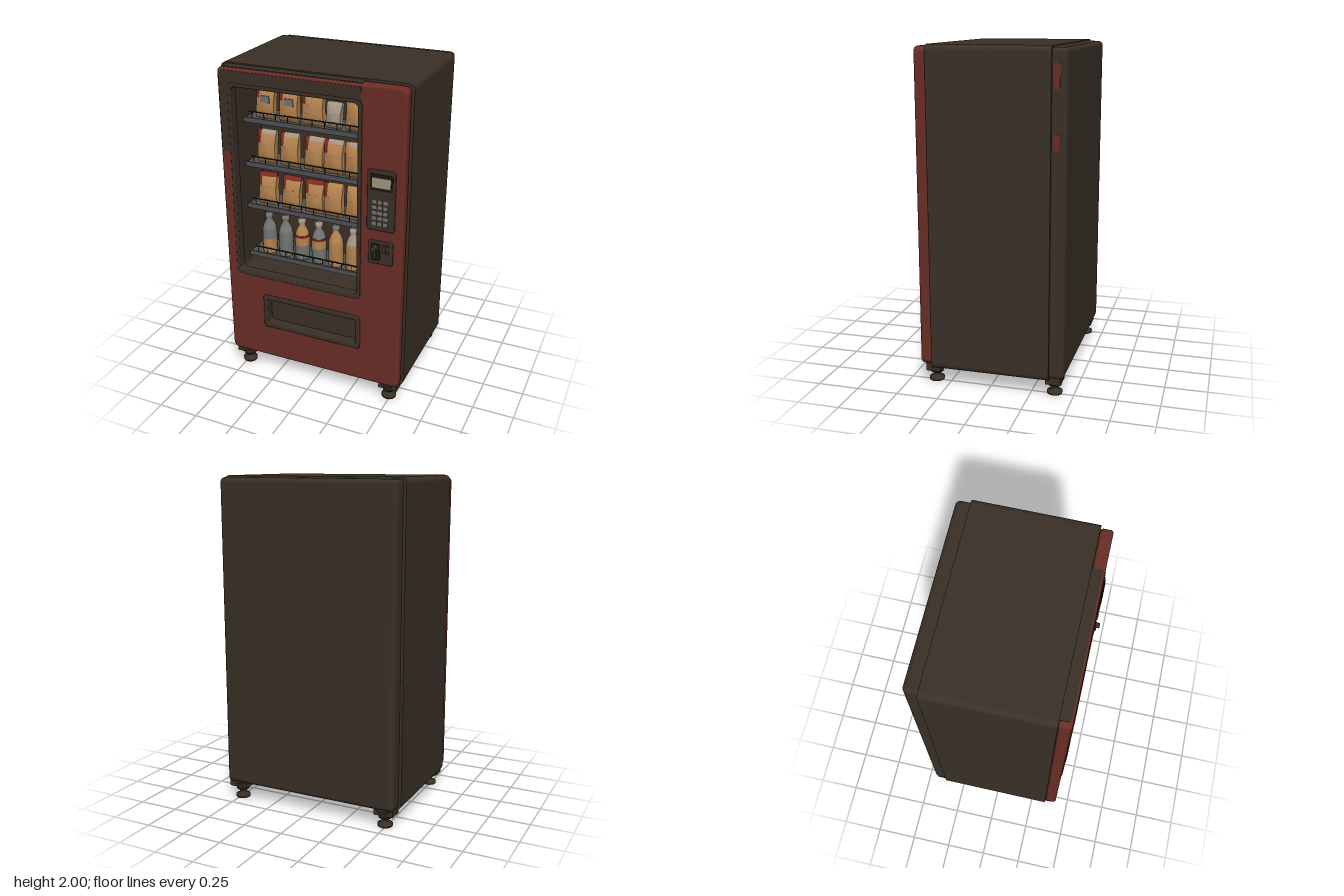
import * as THREE from 'three';
import { RoundedBoxGeometry } from 'three/addons/geometries/RoundedBoxGeometry.js';

const paint = (name, color) => {
  const m = new THREE.MeshStandardMaterial({ color });
  m.name = name;
  return m;
};

export function createModel() {
  const brown = paint('dark brown', 0x393027);
  const red = paint('brick red', 0x6a2d25);
  const black = paint('near black', 0x1b1713);
  const tan = paint('tan', 0xb5834f);
  const beige = paint('beige', 0xa39582);
  const grey = paint('grey', 0x747472);
  const metal = paint('shelf metal', 0x505154);
  const crimson = paint('packet red', 0x7d2a20);

  const model = new THREE.Group();
  model.name = 'vendingMachine';

  const add = (name, geo, mat, x = 0, y = 0, z = 0, parent = model) => {
    const m = new THREE.Mesh(geo, mat);
    m.name = name;
    m.position.set(x, y, z);
    parent.add(m);
    return m;
  };
  const box = (name, mat, x0, x1, y0, y1, z0, z1, parent = model) =>
    add(name, new THREE.BoxGeometry(x1 - x0, y1 - y0, z1 - z0), mat,
      (x0 + x1) / 2, (y0 + y1) / 2, (z0 + z1) / 2, parent);

  // Rounded rectangle outline, with optional holes
  const rect = (x0, x1, y0, y1, r, holes = []) => {
    const s = new THREE.Shape();
    s.moveTo(x0 + r, y0);
    s.lineTo(x1 - r, y0).absarc(x1 - r, y0 + r, r, -Math.PI / 2, 0);
    s.lineTo(x1, y1 - r).absarc(x1 - r, y1 - r, r, 0, Math.PI / 2);
    s.lineTo(x0 + r, y1).absarc(x0 + r, y1 - r, r, Math.PI / 2, Math.PI);
    s.lineTo(x0, y0 + r).absarc(x0 + r, y0 + r, r, Math.PI, Math.PI * 1.5);
    s.holes.push(...holes);
    return s;
  };
  // Outline extruded between two depths
  const slab = (name, shape, z0, z1, mat, b = 0) =>
    add(name, new THREE.ExtrudeGeometry(shape, {
      depth: z1 - z0 - 2 * b, curveSegments: 6, bevelEnabled: b > 0,
      bevelThickness: b, bevelSize: b, bevelOffset: -b, bevelSegments: 3,
    }), mat, 0, 0, z0 + b);

  // Cabinet: solid rear, hollow front
  const windowHole = () => rect(-0.5, 0.31, 0.69, 1.9, 0.03);
  slab('cabinetRear', rect(-0.58, 0.58, 0.1, 2, 0.035), -0.365, 0.05, brown);
  slab('cabinetFront', rect(-0.58, 0.58, 0.1, 2, 0.035, [windowHole()]), 0.05, 0.347, brown);
  add('backPanel', new RoundedBoxGeometry(1.125, 1.88, 0.13, 4, 0.028), brown, 0, 1.05, -0.385);
  for (const [y0, y1] of [[1.77, 1.91], [1.44, 1.53]])
    box('sidePatch', red, 0.56, 0.566, y0, y1, -0.41, -0.374);

  // Door with window and delivery openings
  slab('door', rect(-0.568, 0.568, 0.12, 1.99, 0.035,
    [windowHole(), rect(-0.3, 0.295, 0.375, 0.545, 0.01)]), 0.347, 0.418, red, 0.015);
  const trim = new THREE.Shape([[-0.556, 1.48], [-0.495, 1.5], [-0.495, 1.885], [0.31, 1.885],
    [0.31, 1.974], [-0.54, 1.974], [-0.556, 1.955]].map(p => new THREE.Vector2(...p)));
  slab('doorTrim', trim, 0.416, 0.421, brown);
  box('doorTopTrim', brown, -0.54, 0.31, 1.986, 1.993, 0.347, 0.406);
  slab('windowFrame', rect(-0.505, 0.315, 0.685, 1.905, 0.035,
    [rect(-0.483, 0.293, 0.712, 1.882, 0.025)]), 0.36, 0.424, brown, 0.006);

  // Delivery slot
  slab('slotFrame', rect(-0.325, 0.32, 0.345, 0.572, 0.015,
    [rect(-0.297, 0.293, 0.378, 0.543, 0.008)]), 0.37, 0.432, brown, 0.006);
  box('slotFlap', brown, -0.3, 0.295, 0.375, 0.545, 0.35, 0.375);
  box('slotFlapLip', black, -0.29, 0.286, 0.53, 0.54, 0.375, 0.385);

  // Keypad panel
  slab('keypadPanel', rect(0.355, 0.52, 1.165, 1.527, 0.015), 0.41, 0.43, brown, 0.005);
  box('screenSurround', black, 0.373, 0.507, 1.41, 1.505, 0.428, 0.433);
  box('screen', beige, 0.387, 0.495, 1.427, 1.485, 0.43, 0.436);
  for (let r = 0; r < 5; r++)
    for (let c = 0; c < 3; c++)
      box('keypadButton', grey, 0.39 + c * 0.033, 0.415 + c * 0.033,
        1.2 + r * 0.033, 1.222 + r * 0.033, 0.428, 0.435);

  // Coin panel
  slab('coinPanel', rect(0.368, 0.515, 0.955, 1.1, 0.012), 0.41, 0.43, brown, 0.005);
  box('coinRecess', black, 0.385, 0.44, 0.975, 1.085, 0.428, 0.433);
  add('coinKnob', new THREE.CylinderGeometry(0.016, 0.02, 0.03, 12).rotateX(Math.PI / 2),
    brown, 0.41, 1.06, 0.444);
  box('coinLever', brown, 0.402, 0.418, 0.99, 1.06, 0.43, 0.441);
  box('coinSlotPlate', brown, 0.458, 0.492, 1.03, 1.085, 0.428, 0.437);
  box('coinSlot', black, 0.472, 0.478, 1.038, 1.078, 0.435, 0.439);

  // Shelves with front lips and guard rails
  const shelfHeights = [1.645, 1.365, 1.09, 0.76];
  shelfHeights.forEach((y, i) => {
    box('shelf', metal, -0.498, 0.308, y - 0.012, y, 0.05, 0.26);
    box('shelfLip', metal, -0.495, 0.3, y - 0.018, y + 0.012, 0.26, 0.27);
    box('guardRail', black, -0.46, 0.28, y + 0.047, y + 0.053, 0.262, 0.268);
    const n = i < 3 ? 10 : 12;
    for (let k = 0; k < n; k++) {
      const x = -0.44 + k * 0.7 / (n - 1);
      box('railPost', i < 3 ? black : metal, x - 0.002, x + 0.002, y, y + 0.05, 0.263, 0.267);
    }
  });

  // Part of a pillow-shaped packet covering u0..u1 across and v0..v1 up
  const packetPart = (w, h, u0, u1, v0, v1) => {
    const g = new THREE.BoxGeometry(u1 - u0, v1 - v0, 1, 3, 5, 1);
    g.translate((u0 + u1) / 2, (v0 + v1) / 2, 0);
    const p = g.attributes.position;
    for (let i = 0; i < p.count; i++) {
      const u = p.getX(i), v = p.getY(i);
      const puff = Math.sqrt(Math.max(0, Math.sin(Math.PI * v)));
      const side = 0.45 + 0.55 * Math.sin(Math.PI * u);
      p.setXYZ(i, (u - 0.5) * w * (1 - 0.1 * puff * (1 - Math.abs(2 * v - 1))), v * h,
        p.getZ(i) * (0.008 + 0.085 * puff * side) - 0.02 * v);
    }
    g.computeVertexNormals();
    return g;
  };
  const packet = (x, y, w, h, main, top, corner, tilt) => {
    const g = new THREE.Group();
    g.name = 'snackPacket';
    g.position.set(x, y, 0.205);
    g.rotation.z = tilt;
    add('packetBody', packetPart(w, h, 0, 1, 0, 0.62), main, 0, 0, 0, g);
    add('packetCorner', packetPart(w, h, 0, 0.22, 0.62, 1), corner, 0, 0, 0, g);
    add('packetUpper', packetPart(w, h, 0.22, 1, 0.62, 0.9), main, 0, 0, 0, g);
    add('packetSeal', packetPart(w, h, 0.22, 1, 0.9, 1), top, 0, 0, 0, g);
    model.add(g);
  };
  const columns = [-0.38, -0.225, -0.07, 0.057, 0.195];
  for (let row = 0; row < 3; row++)
    columns.forEach((x, i) => {
      const pale = row === 0 && i === 3;
      packet(x, shelfHeights[row], row === 0 && i === 2 ? 0.14 : pale ? 0.095 : 0.122,
        pale ? 0.15 : 0.205, pale ? beige : tan,
        pale || row === 1 ? beige : i < 3 ? crimson : tan,
        pale ? beige : i === 4 ? tan : crimson, ((row + i) % 3 - 1) * 0.025);
    });
  // Printed patches on the top row
  for (const x of [-0.37, -0.215]) box('packetPatch', grey, x - 0.025, x + 0.03, 1.745, 1.79, 0.232, 0.238);

  // Bottles turned in stacked colour bands
  const bands = [
    [[0, 0], [0.042, 0], [0.046, 0.012], [0.046, 0.1]],
    [[0.046, 0.1], [0.046, 0.15], [0.043, 0.168]],
    [[0.043, 0.168], [0.034, 0.198], [0.021, 0.22], [0.019, 0.238]],
    [[0.019, 0.238], [0.024, 0.24], [0.024, 0.266], [0, 0.268]],
  ].map(b => new THREE.LatheGeometry(b.map(p => new THREE.Vector2(...p)), 18));
  const bottleColours = [
    [tan, grey, grey, grey], [grey, grey, grey, grey], [grey, tan, tan, beige],
    [grey, tan, grey, beige], [tan, tan, tan, grey], [tan, tan, beige, beige],
  ];
  bottleColours.forEach((cols, i) => {
    const g = new THREE.Group();
    g.name = 'bottle';
    g.position.set(-0.385 + i * 0.1135, 0.762, 0.205);
    cols.forEach((c, k) => add('bottleBand', bands[k], c, 0, 0, 0, g));
    if (i === 2 || i === 3)
      add('labelStripe', new THREE.CylinderGeometry(0.0475, 0.0475, 0.014, 18), crimson, 0, 0.16, 0, g);
    model.add(g);
  });

  // Levelling feet
  const footGeo = new THREE.LatheGeometry([[0, 0], [0.044, 0], [0.046, 0.016], [0.022, 0.028],
    [0.02, 0.045], [0.038, 0.052], [0.046, 0.075], [0.06, 0.105]]
    .map(p => new THREE.Vector2(...p)), 16);
  for (const sx of [-1, 1])
    for (const z of [0.345, -0.385]) {
      add('foot', footGeo, brown, sx * 0.49, 0, z);
      box('footBracket', brown, sx * 0.495 - 0.06, sx * 0.495 + 0.06, 0.075, 0.125, z - 0.045, z + 0.045);
    }
  return model;
}
